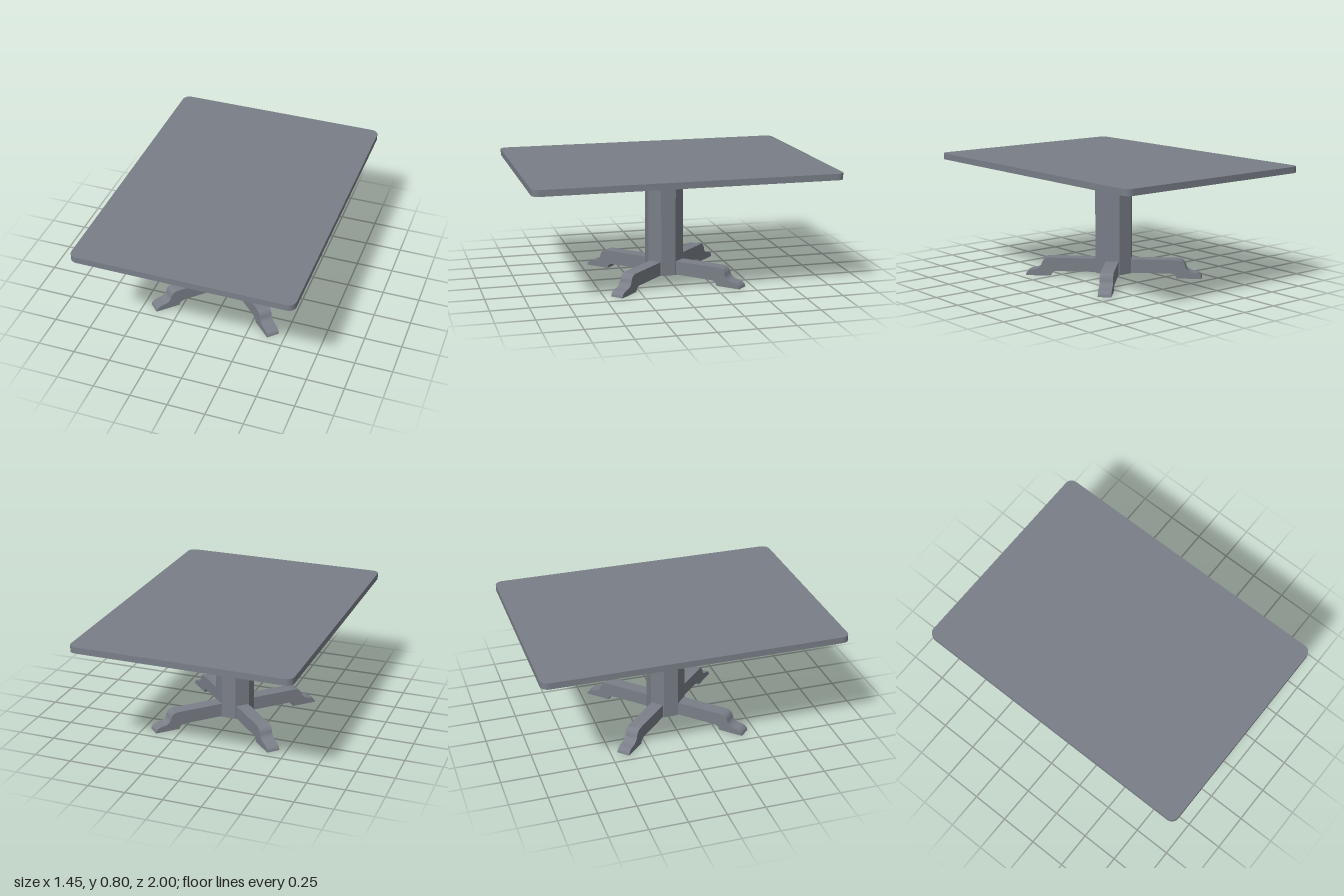
import * as THREE from 'three';
import { toCreasedNormals } from 'three/addons/utils/BufferGeometryUtils.js';

const slate = new THREE.MeshStandardMaterial({ color: 0x7a7f88 });
const BEAM = 0.087; // thickness of feet and brackets

function part(name, geometry) {
  const mesh = new THREE.Mesh(geometry, slate);
  mesh.name = name;
  return mesh;
}

// Extrude a shape, with smooth curves and sharp edges
function slab(shape, depth) {
  const geo = new THREE.ExtrudeGeometry(shape, { depth, bevelEnabled: false, curveSegments: 8 });
  geo.translate(0, 0, -depth / 2);
  return toCreasedNormals(geo, 0.6);
}

// Rounded rectangular top
function tabletop() {
  const w = 0.724, l = 1, r = 0.05;
  const s = new THREE.Shape();
  s.absarc(w - r, l - r, r, 0, Math.PI / 2);
  s.absarc(r - w, l - r, r, Math.PI / 2, Math.PI);
  s.absarc(r - w, r - l, r, Math.PI, Math.PI * 1.5);
  s.absarc(w - r, r - l, r, Math.PI * 1.5, Math.PI * 2);
  s.closePath();
  const geo = slab(s, 0.042);
  geo.rotateX(-Math.PI / 2);
  geo.translate(0, 0.778, 0);
  return geo;
}

// Foot profile: x runs outward from the post
function footShape() {
  const s = new THREE.Shape();
  s.moveTo(0.09, 0.033);
  s.lineTo(0.385, 0.033);
  s.bezierCurveTo(0.412, 0.033, 0.424, 0.021, 0.428, 0);
  s.lineTo(0.598, 0);
  s.bezierCurveTo(0.595, 0.026, 0.574, 0.039, 0.541, 0.041);
  s.bezierCurveTo(0.513, 0.046, 0.497, 0.058, 0.49, 0.076);
  s.bezierCurveTo(0.483, 0.104, 0.473, 0.121, 0.443, 0.125);
  s.lineTo(0.09, 0.125);
  s.closePath();
  return s;
}

// Bracket profile under the top
function bracketShape() {
  const s = new THREE.Shape();
  s.moveTo(0.09, 0.68);
  s.lineTo(0.468, 0.68);
  s.bezierCurveTo(0.486, 0.681, 0.494, 0.688, 0.496, 0.702);
  s.bezierCurveTo(0.497, 0.716, 0.503, 0.723, 0.518, 0.725);
  s.bezierCurveTo(0.538, 0.728, 0.548, 0.738, 0.549, 0.757);
  s.lineTo(0.09, 0.757);
  s.closePath();
  return s;
}

export function createModel() {
  const model = new THREE.Group();
  model.name = 'pedestalTable';
  model.add(part('tabletop', tabletop()));

  // Octagonal post with flats facing the front and sides
  const radius = 0.12 / Math.cos(Math.PI / 8);
  const post = new THREE.CylinderGeometry(radius, radius, 0.726, 8);
  post.rotateY(Math.PI / 8);
  post.translate(0, 0.394, 0);
  model.add(part('post', toCreasedNormals(post, 0.5)));

  // Four diagonal feet and matching brackets
  const foot = slab(footShape(), BEAM);
  const bracket = slab(bracketShape(), BEAM);
  for (let i = 0; i < 4; i++) {
    const arm = new THREE.Group();
    arm.name = 'diagonalArm' + (i + 1);
    arm.rotation.y = Math.PI / 4 + (i * Math.PI) / 2;
    arm.add(part('foot', foot), part('bracket', bracket));
    model.add(arm);
  }
  return model;
}
